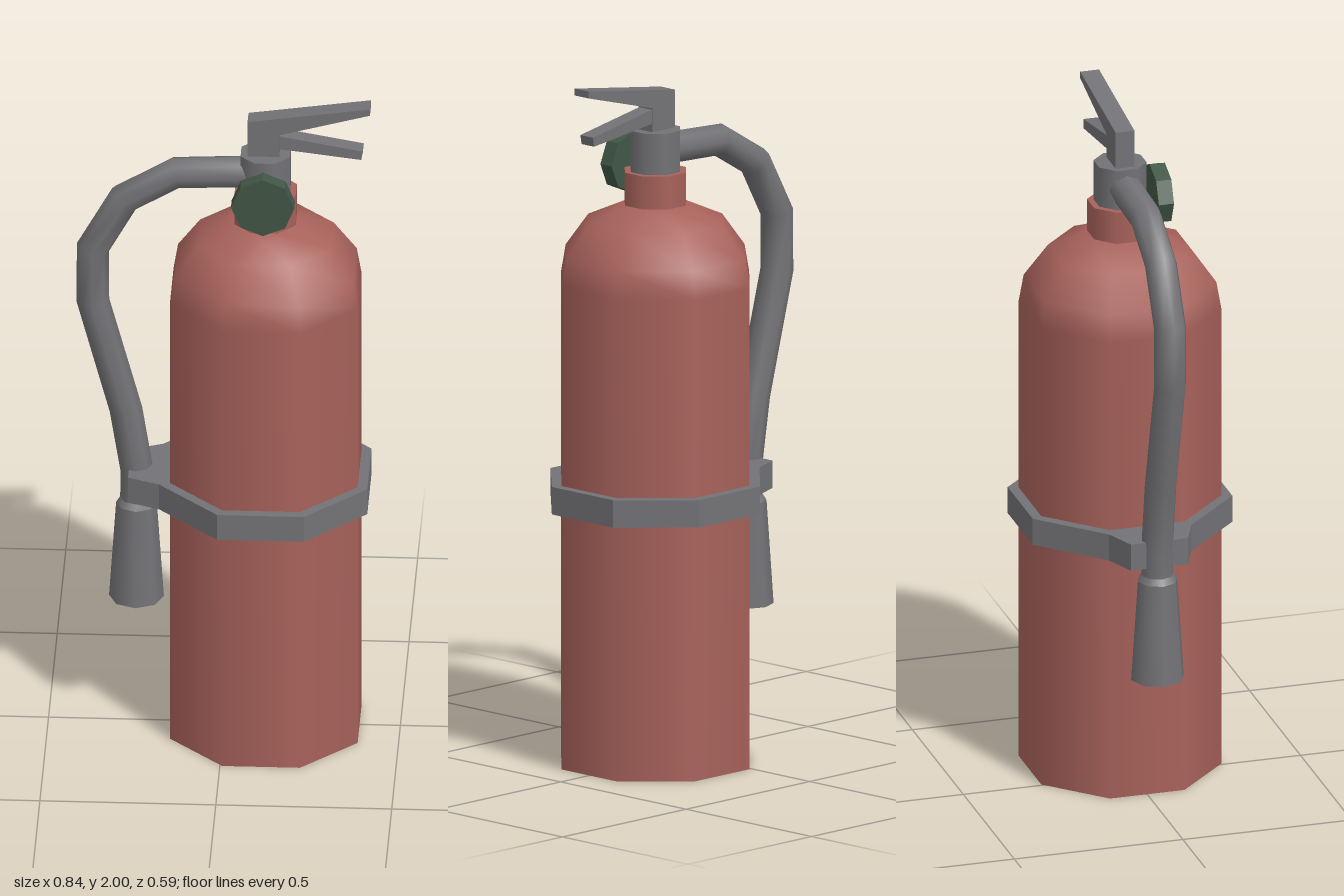
import * as THREE from 'three';

const CX = 0.117; // axis of the tank
const FLAT = 1 / Math.cos(Math.PI / 8); // octagon: half width across flats -> corner radius

function material(name, color, flatShading = false) {
  const m = new THREE.MeshStandardMaterial({ color, flatShading });
  m.name = name;
  return m;
}

export function createModel() {
  const model = new THREE.Group();
  model.name = 'fireExtinguisher';
  const red = material('red', 0xa8625b);
  const grey = material('grey', 0x737377);
  const green = material('green', 0x405646);

  const add = (name, geometry, mat, x = 0, y = 0, z = 0) => {
    const mesh = new THREE.Mesh(geometry, mat);
    mesh.name = name;
    mesh.position.set(x, y, z);
    model.add(mesh);
    return mesh;
  };
  // Upright octagonal drum with its flats facing the axes
  const drum = (half, height) =>
    new THREE.CylinderGeometry(half * FLAT, half * FLAT, height, 8, 1, false, Math.PI / 8);
  // Extruded outline, centred on z = 0
  const plate = (points, depth) =>
    new THREE.ExtrudeGeometry(new THREE.Shape(points.map(([x, y]) => new THREE.Vector2(x, y))),
      { depth, bevelEnabled: false });

  // Tank with a rounded shoulder, and its base
  const profile = [[0.267, 0], [0.267, 1.4], [0.254, 1.48], [0.19, 1.575], [0.085, 1.625], [0, 1.63]]
    .map(([r, y]) => new THREE.Vector2(r * FLAT, y));
  add('tank', new THREE.LatheGeometry(profile, 8, Math.PI / 8), red, CX);
  const base = new THREE.CircleGeometry(0.267 * FLAT, 8, Math.PI / 8);
  base.rotateX(Math.PI / 2);
  add('tankBase', base, red, CX);

  // Neck and valve
  add('neck', drum(0.087, 0.11), red, CX, 1.665);
  add('valve', drum(0.07, 0.13), grey, CX, 1.775);

  // Pressure gauge
  const gauge = new THREE.CylinderGeometry(0.09, 0.09, 0.045, 8);
  gauge.rotateX(Math.PI / 2);
  add('gauge', gauge.toNonIndexed(), green, 0.115, 1.73, 0.11);
  green.flatShading = true;

  // Carrying handle with its stem, and the lower lever
  add('upperHandle', plate([[0.067, 1.84], [0.157, 1.84], [0.157, 1.91], [0.415, 1.98],
    [0.415, 2], [0.067, 1.95]], 0.056), grey, 0, 0, -0.028);
  add('lowerLever', plate([[0.14, 1.866], [0.39, 1.835], [0.395, 1.862], [0.14, 1.908]], 0.05),
    grey, 0, 0, -0.025);

  // Strap around the tank, reaching out to clip the hose
  const side = [[-0.27, 0.085], [-0.18, 0.122], [-0.006, 0.296], [0.24, 0.296], [0.412, 0.122]];
  const outline = [...side, ...side.map(([x, z]) => [x, -z]).reverse()];
  const strap = plate(outline, 0.08);
  strap.rotateX(-Math.PI / 2);
  add('strap', strap, grey, 0, 0.745);

  // Hose: one ring of the tube at each path point
  const path = new THREE.CatmullRomCurve3([
    [0.09, 1.777], [-0.137, 1.767], [-0.285, 1.68], [-0.374, 1.52], [-0.374, 1.35],
    [-0.28, 1.0], [-0.248, 0.8], [-0.25, 0.69],
  ].map(([x, y]) => new THREE.Vector3(x, y, 0)));
  path.getPointAt = path.getPoint;
  path.getTangentAt = path.getTangent;
  add('hose', new THREE.TubeGeometry(path, path.points.length - 1, 0.047, 8), grey);

  // Nozzle
  add('nozzle', new THREE.CylinderGeometry(0.058, 0.078, 0.3, 8), grey, -0.25, 0.55);
  add('nozzleCollar', new THREE.CylinderGeometry(0.047, 0.058, 0.018, 8), grey, -0.25, 0.709);

  return model;
}
